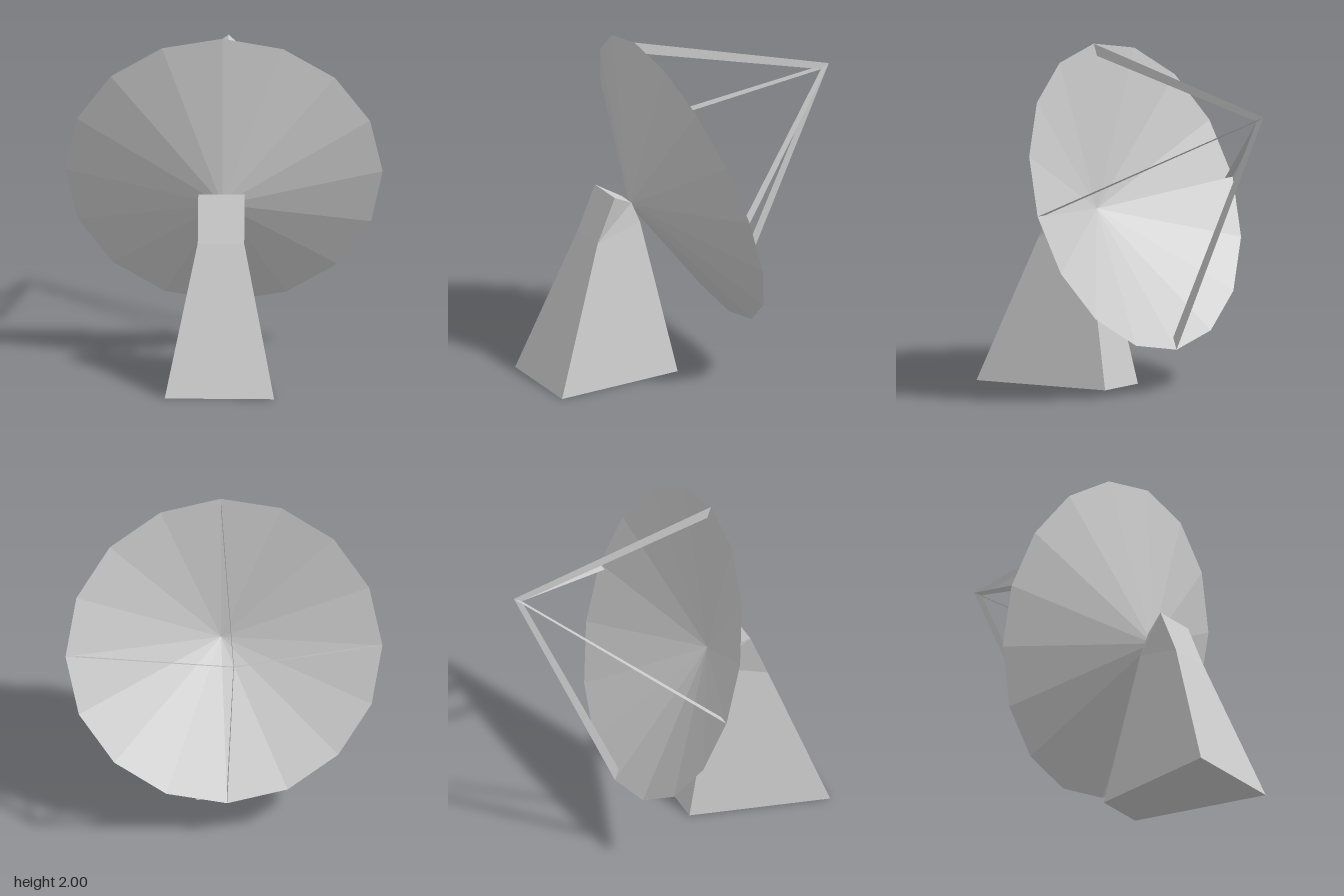
import * as THREE from 'three';

const RIM = 0.922;                                   // dish radius
const CENTRE = new THREE.Vector3(0, 1.13, 0.015);    // middle of the rim
const FOCUS = new THREE.Vector3(0, 1.69, -0.93);     // where the struts meet
const TILT = -1.234;                                 // dish looks up and to the back

const grey = (side = THREE.FrontSide) =>
  new THREE.MeshStandardMaterial({ color: 0xcccccc, flatShading: true, side });

function mesh(name, geometry, material) {
  const m = new THREE.Mesh(geometry, material);
  m.name = name;
  return m;
}

function geometryFrom(positions, index) {
  const g = new THREE.BufferGeometry();
  g.setAttribute('position', new THREE.Float32BufferAttribute(positions, 3));
  g.setIndex(index);
  const flat = g.toNonIndexed();
  flat.computeVertexNormals();
  return flat;
}

// Tapering pedestal: three four-cornered sections joined by side walls
function pedestalGeometry() {
  // each corner pair: [half width, y, z], wide side first, narrow side second
  const sections = [
    [[0.318, 0, 0.935], [0.155, 0, 0.115]],
    [[0.135, 0.85, 0.62], [0.067, 0.92, 0.315]],
    [[0.135, 1.115, 0.51], [0.067, 1.045, 0.37]],
  ];
  const positions = [], index = [];
  for (const [[w, wy, wz], [n, ny, nz]] of sections)
    positions.push(-w, wy, wz, w, wy, wz, n, ny, nz, -n, ny, nz);
  for (let s = 0; s < sections.length - 1; s++) {
    for (let i = 0; i < 4; i++) {
      const a = s * 4 + i, b = s * 4 + (i + 1) % 4;
      index.push(a, b, b + 4, a, b + 4, a + 4);
    }
  }
  index.push(0, 2, 1, 0, 3, 2);       // underside
  index.push(8, 9, 10, 8, 10, 11);    // top
  return geometryFrom(positions, index);
}

// Flat strut from a rim point to the focus, lying in the plane through the rim centre
function strutGeometry(rimPoint) {
  const rimInner = CENTRE.clone().lerp(rimPoint, 0.92);
  const focusInner = CENTRE.clone().lerp(FOCUS, 0.947);
  const corners = [rimPoint, FOCUS, focusInner, rimInner];
  return geometryFrom(corners.flatMap((p) => p.toArray()), [0, 1, 2, 0, 2, 3]);
}

export function createModel() {
  const model = new THREE.Group();
  model.name = 'dishAntenna';

  model.add(mesh('pedestal', pedestalGeometry(), grey()));

  // Dish: outer cone, rim, then the slightly shallower inner cone
  const profile = [[0, -0.355], [0.02, -0.35], [RIM, 0], [0, -0.297]]
    .map(([r, y]) => new THREE.Vector2(r, y));
  const dish = mesh('dish', new THREE.LatheGeometry(profile, 16), grey());
  dish.rotation.x = TILT;
  dish.position.copy(CENTRE);
  model.add(dish);

  // Four struts from the rim to the focus
  const struts = new THREE.Group();
  struts.name = 'feedStruts';
  ['topStrut', 'leftStrut', 'bottomStrut', 'rightStrut'].forEach((name, i) => {
    const a = i * Math.PI / 2;
    const rimPoint = new THREE.Vector3(Math.sin(a) * RIM, 0, Math.cos(a) * RIM)
      .applyAxisAngle(new THREE.Vector3(1, 0, 0), TILT).add(CENTRE);
    struts.add(mesh(name, strutGeometry(rimPoint), grey(THREE.DoubleSide)));
  });
  model.add(struts);

  return model;
}
